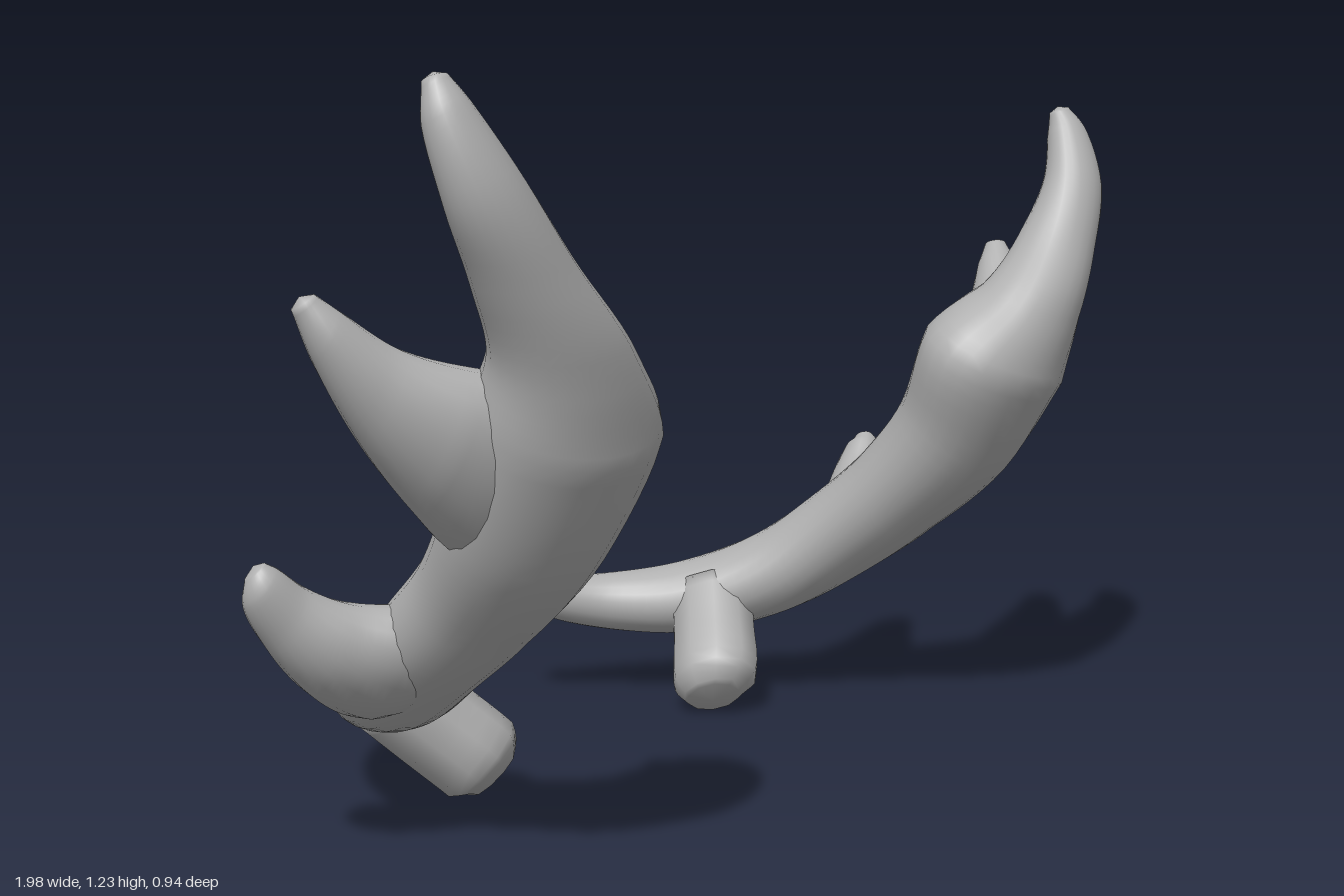
import * as THREE from 'three';

const horn = new THREE.MeshStandardMaterial({ color: 0xb0b0b0 });
horn.name = 'grey horn';

// Smooth closed loft. Each row holds one edge, the opposite edge and the half thickness:
// [ax, ay, az, bx, by, bz, t]
function loft(rows, steps = 40, sides = 20) {
  const spline = (f) => new THREE.CatmullRomCurve3(rows.map(f), false, 'centripetal');
  const inner = spline((r) => new THREE.Vector3(r[0], r[1], r[2]));
  const outer = spline((r) => new THREE.Vector3(r[3], r[4], r[5]));
  const mid = (t) => inner.getPoint(t).add(outer.getPoint(t)).multiplyScalar(0.5);
  const pos = [], index = [];
  for (let i = 0; i <= steps; i++) {
    const t = i / steps;
    const c = mid(t);
    const along = mid(Math.min(1, t + 0.01)).sub(mid(Math.max(0, t - 0.01)));
    const u = outer.getPoint(t).sub(inner.getPoint(t)).multiplyScalar(0.5);
    const f = t * (rows.length - 1), k = Math.min(Math.floor(f), rows.length - 2);
    const thick = THREE.MathUtils.lerp(rows[k][6], rows[k + 1][6], f - k);
    const v = along.cross(u).normalize().multiplyScalar(thick);
    for (let j = 0; j < sides; j++) {
      const a = (j / sides) * Math.PI * 2;
      const p = c.clone().addScaledVector(u, Math.cos(a)).addScaledVector(v, Math.sin(a));
      pos.push(p.x, p.y, p.z);
    }
  }
  for (let i = 0; i < steps; i++) {
    for (let j = 0; j < sides; j++) {
      const a = i * sides + j, b = i * sides + (j + 1) % sides;
      index.push(a, b, a + sides, b, b + sides, a + sides);
    }
  }
  // Slightly domed ends
  const first = pos.length / 3, last = first + 1, top = steps * sides;
  const start = mid(0), end = mid(1);
  start.addScaledVector(mid(0.01).sub(start).normalize(), -0.008);
  end.addScaledVector(mid(0.99).sub(end).normalize(), -0.008);
  pos.push(...start.toArray(), ...end.toArray());
  for (let j = 0; j < sides; j++) {
    const n = (j + 1) % sides;
    index.push(first, n, j, last, top + j, top + n);
  }
  const g = new THREE.BufferGeometry();
  g.setAttribute('position', new THREE.Float32BufferAttribute(pos, 3));
  g.setIndex(index);
  g.computeVertexNormals();
  return g;
}

const parts = {
  // Beam from the rear tip, widening to the palm and ending in the tall tine
  beamAndPalm: () => loft([
    [0.235, 0.235, -0.445, 0.265, 0.235, -0.468, 0.025],
    [0.27, 0.205, -0.40, 0.33, 0.205, -0.445, 0.042],
    [0.35, 0.18, -0.32, 0.455, 0.19, -0.375, 0.056],
    [0.42, 0.185, -0.19, 0.575, 0.205, -0.26, 0.07],
    [0.485, 0.245, -0.06, 0.67, 0.25, -0.12, 0.08],
    [0.52, 0.33, 0.035, 0.735, 0.325, 0.015, 0.088],
    [0.53, 0.425, 0.145, 0.76, 0.415, 0.135, 0.095],
    [0.52, 0.55, 0.265, 0.80, 0.53, 0.24, 0.112],
    [0.49, 0.705, 0.335, 0.82, 0.68, 0.335, 0.125],
    [0.59, 0.80, 0.395, 0.82, 0.78, 0.365, 0.09],
    [0.70, 0.905, 0.40, 0.86, 0.88, 0.38, 0.07],
    [0.78, 1.01, 0.39, 0.903, 0.98, 0.385, 0.053],
    [0.83, 1.10, 0.36, 0.907, 1.08, 0.36, 0.035],
    [0.845, 1.13, 0.345, 0.885, 1.13, 0.345, 0.018],
  ], 78, 24),
  // Tines run from a broad flat root inside the beam to a round tip
  middleTine: () => loft([
    [0.62, 0.72, 0.36, 0.66, 0.49, 0.22, 0.07],
    [0.72, 0.755, 0.345, 0.76, 0.51, 0.20, 0.085],
    [0.80, 0.768, 0.30, 0.84, 0.59, 0.185, 0.078],
    [0.875, 0.80, 0.235, 0.92, 0.69, 0.175, 0.055],
    [0.93, 0.85, 0.185, 0.972, 0.79, 0.165, 0.038],
    [0.955, 0.872, 0.163, 0.988, 0.855, 0.155, 0.02],
  ]),
  lowerTine: () => loft([
    [0.60, 0.36, 0.07, 0.58, 0.23, -0.11, 0.06],
    [0.69, 0.38, 0.08, 0.69, 0.235, -0.115, 0.075],
    [0.77, 0.40, 0.01, 0.79, 0.285, -0.10, 0.064],
    [0.82, 0.435, -0.04, 0.86, 0.355, -0.10, 0.048],
    [0.86, 0.472, -0.06, 0.897, 0.42, -0.10, 0.034],
    [0.875, 0.482, -0.07, 0.893, 0.46, -0.095, 0.016],
  ]),
  // Short round peg under the beam, leaning outward and back, from [x, y, z, radius] rows
  mountingPeg: () => loft([
    [0.37, 0.04, -0.09, 0.05],
    [0.39, 0.067, -0.10, 0.08],
    [0.45, 0.135, -0.145, 0.08],
    [0.505, 0.20, -0.19, 0.08],
  ].map(([x, y, z, r]) => {
    const dx = r * 0.45, dy = r * 0.3, dz = r * 0.84;
    return [x - dx, y - dy, z - dz, x + dx, y + dy, z + dz, r];
  }), 12, 10),
};

// The right antler is a mirrored copy, a little taller and leaning inward at its base
function mirrorRight(g) {
  const p = g.attributes.position;
  for (let i = 0; i < p.count; i++) {
    const x = p.getX(i), y = p.getY(i);
    p.setXY(i, -(1.05 * x - 0.11 + 0.09 * y * y), y * (1 + 0.07 * y) + 0.008);
  }
  g.index.array.reverse();
  g.computeVertexNormals();
  return g;
}

export function createModel() {
  const model = new THREE.Group();
  model.name = 'antlers';
  for (const side of ['left', 'right']) {
    const antler = new THREE.Group();
    antler.name = side + 'Antler';
    for (const [name, build] of Object.entries(parts)) {
      const mesh = new THREE.Mesh(side === 'left' ? build() : mirrorRight(build()), horn);
      mesh.name = name;
      antler.add(mesh);
    }
    model.add(antler);
  }
  return model;
}
